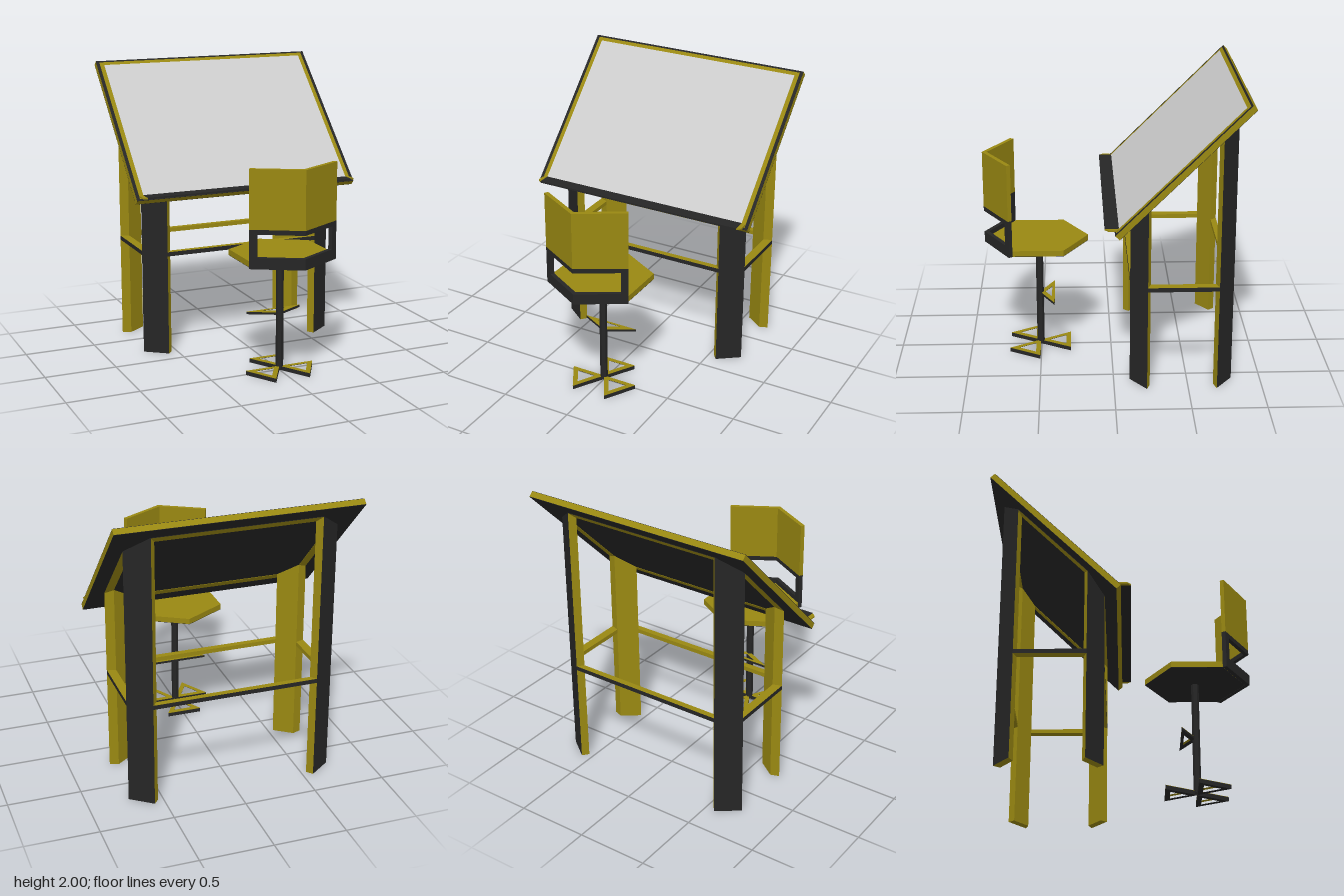
import * as THREE from 'three';

const material = (color) => new THREE.MeshStandardMaterial({ color, flatShading: true });
const ochre = material(0x998812);
const black = material(0x262626);
const grey = material(0xcccccc);

function add(parent, name, geometry, mat) {
  const mesh = new THREE.Mesh(geometry, mat);
  mesh.name = name;
  parent.add(mesh);
  return mesh;
}

// Flat-shaded geometry from four-cornered faces
function quads(faces) {
  const pos = [];
  for (const [a, b, c, d] of faces) for (const p of [a, b, c, a, c, d]) pos.push(...p);
  const g = new THREE.BufferGeometry();
  g.setAttribute('position', new THREE.Float32BufferAttribute(pos, 3));
  g.computeVertexNormals();
  return g;
}

// Horizontal outline of [x, z] points, with optional hole, raised from y0 to y1
function slab(points, y0, y1, hole) {
  const toShape = (list) => list.map(([x, z]) => new THREE.Vector2(x, -z));
  const shape = new THREE.Shape(toShape(points));
  if (hole) shape.holes.push(new THREE.Path(toShape(hole)));
  const g = new THREE.ExtrudeGeometry(shape, { depth: y1 - y0, bevelEnabled: false });
  return g.rotateX(-Math.PI / 2).translate(0, y0, 0);
}

// Prism over a plan [outer0, outer1, inner1, inner0]; the outer face is black
function prism(parent, name, plan, bottom, top) {
  const lo = plan.map(([x, z]) => [x, bottom(z), z]);
  const hi = plan.map(([x, z]) => [x, top(z), z]);
  const side = (i) => [lo[i], lo[(i + 1) % 4], hi[(i + 1) % 4], hi[i]];
  const group = new THREE.Group();
  group.name = name;
  parent.add(group);
  add(group, name + 'OuterFace', quads([side(0)]), black);
  add(group, name + 'Body', quads([side(1), side(2), side(3), hi, [...lo].reverse()]), ochre);
}

// Eight-sided ring: legs on the diagonal sides, rails on the straight ones
function buildStand(parent) {
  const stand = new THREE.Group();
  stand.name = 'stand';
  parent.add(stand);
  const zc = -0.457;
  const ring = (ax, az, bx, bz) => [
    [ax, zc + az], [bx, zc + bz], [bx, zc - bz], [ax, zc - az],
    [-ax, zc - az], [-bx, zc - bz], [-bx, zc + bz], [-ax, zc + az],
  ];
  const outer = ring(0.571, 0.347, 0.72, 0.236);
  const inner = ring(0.537, 0.305, 0.66, 0.215);
  const underside = (z) => 1.09 - z;
  for (let i = 0; i < 8; i++) {
    const j = (i + 1) % 8;
    const plan = [outer[i], outer[j], inner[j], inner[i]];
    if (i % 2 === 0) {
      prism(stand, 'leg', plan, () => 0, underside);
    } else {
      prism(stand, 'rail', plan, () => 0.71, () => 0.74);
      prism(stand, 'topRail', plan, (z) => underside(z) - 0.004, underside);
    }
  }
}

function buildBoard(parent) {
  const board = new THREE.Group();
  board.name = 'board';
  board.position.set(0, 1.575, -0.425);
  board.rotation.x = -Math.PI / 4;
  parent.add(board);
  // Layers: [name, width, length, back, front, material]
  const layers = [
    ['boardEdge', 1.646, 1.202, -0.041, -0.002, ochre],
    ['boardFace', 1.646, 1.202, -0.002, 0, black],
    ['boardUnderside', 1.646, 1.202, -0.043, -0.041, black],
    ['boardBorder', 1.6, 1.174, 0, 0.002, ochre],
    ['drawingSurface', 1.54, 1.12, 0.002, 0.004, grey],
  ];
  for (const [name, w, h, z0, z1, mat] of layers) {
    add(board, name, new THREE.BoxGeometry(w, h, z1 - z0), mat).position.z = (z0 + z1) / 2;
  }
  // Pencil ledge with slanted ends
  add(parent, 'ledge', slab([[-0.77, -0.03], [0.77, -0.03], [0.77, 0.065], [-0.77, 0.065]], 1.17, 1.182), black);
  for (const s of [-1, 1]) {
    const end = [[0.77, -0.03], [0.8, -0.015], [0.8, 0.04], [0.77, 0.065]].map(([x, z]) => [s * x, z]);
    add(parent, 'ledgeEnd', slab(end, 1.17, 1.18), ochre);
  }
}

function buildChair(parent) {
  const chair = new THREE.Group();
  chair.name = 'chair';
  parent.add(chair);
  const zc = 0.505;
  const polar = (r, deg) => {
    const t = THREE.MathUtils.degToRad(deg);
    return [r * Math.cos(t), zc + r * Math.sin(t)];
  };
  // Triangular loop with a black body and an ochre top
  const loop = (name, pts, y0, y1, inset) => {
    const cx = (pts[0][0] + pts[1][0] + pts[2][0]) / 3;
    const cz = (pts[0][1] + pts[1][1] + pts[2][1]) / 3;
    const hole = pts.map(([x, z]) => [cx + (x - cx) * inset, cz + (z - cz) * inset]);
    add(chair, name, slab(pts, y0, y1 - 0.002, hole), black);
    add(chair, name + 'Top', slab(pts, y1 - 0.002, y1, hole), ochre);
  };
  for (const a of [0, 120, 240]) {
    loop('foot', [[0, zc], polar(0.25, a), polar(0.25, a + 60)], 0, 0.03, 0.55);
  }
  loop('footrest', [[0, zc], [-0.2, 0.4], [0.2, 0.4]], 0.392, 0.41, 0.45);

  const stem = add(chair, 'stem', new THREE.CylinderGeometry(0.026, 0.026, 0.79, 6), black);
  stem.position.set(0, 0.405, zc);

  // Hexagonal seat
  const hexagon = [30, 90, 150, 210, 270, 330].map((a) => polar(0.345, a));
  add(chair, 'seat', slab(hexagon, 0.802, 0.842), ochre);
  add(chair, 'seatUnderside', slab(hexagon, 0.8, 0.802), black);

  // Folded backrest along the two rear seat edges
  const fold = [[-0.315, 0.705], [0, 0.885], [0.315, 0.705], [0.3, 0.68], [0, 0.852], [-0.3, 0.68]];
  add(chair, 'backrest', slab(fold, 1.062, 1.458), ochre);
  add(chair, 'backFrameBottom', slab(fold, 0.8, 0.875), black);
  add(chair, 'backFrameTop', slab(fold, 1.03, 1.062), black);
  for (const s of [-1, 1]) {
    const post = [[0.315, 0.705], [0.3, 0.68], [0.257, 0.705], [0.272, 0.73]].map(([x, z]) => [s * x, z]);
    add(chair, 'backPost', slab(post, 0.875, 1.03), black);
  }
}

export function createModel() {
  const model = new THREE.Group();
  model.name = 'draftingTableAndChair';
  buildStand(model);
  buildBoard(model);
  buildChair(model);
  return model;
}
